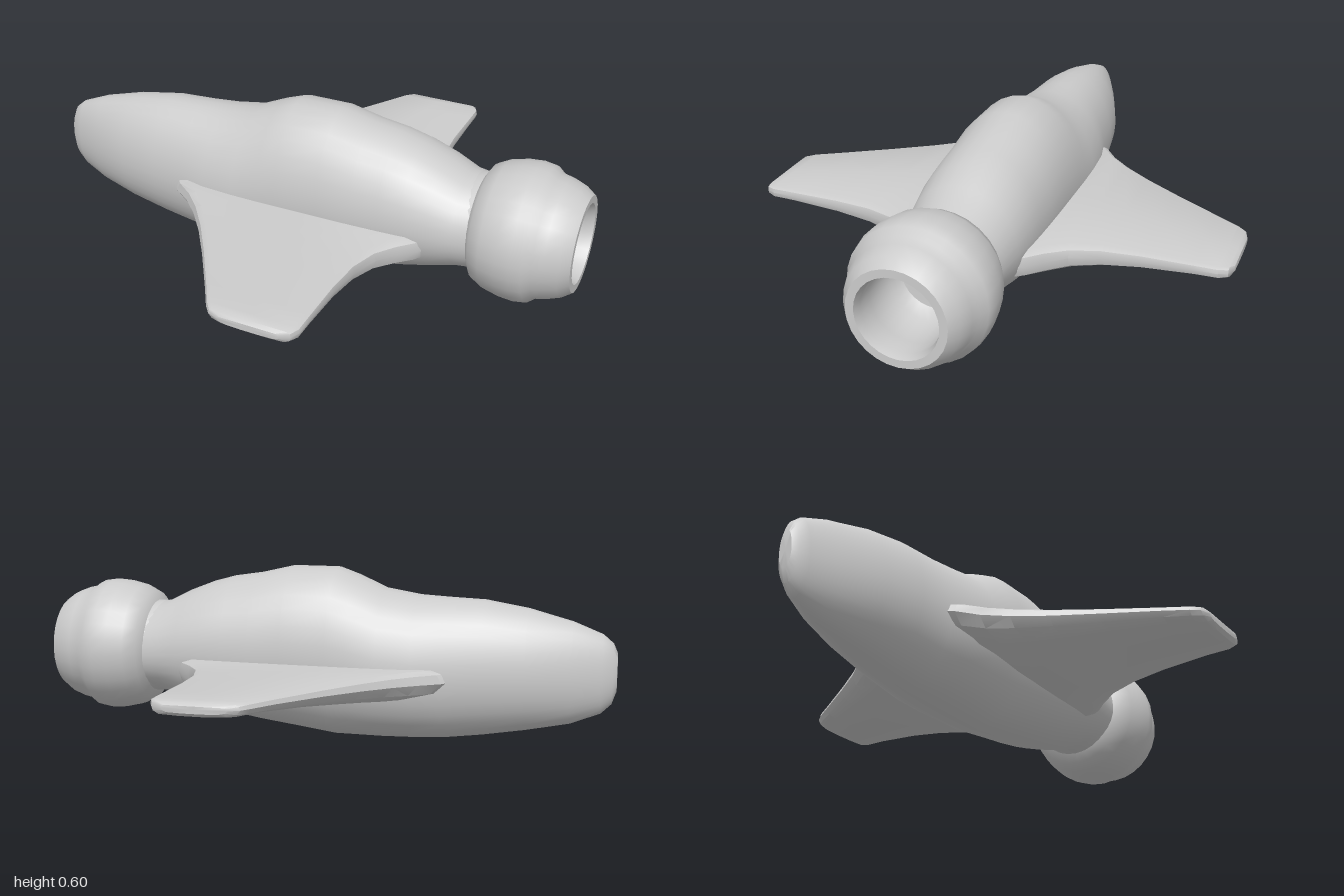
import * as THREE from 'three';
import { toCreasedNormals } from 'three/addons/utils/BufferGeometryUtils.js';

const material = new THREE.MeshStandardMaterial({ color: 0xcccccc });

// Skins a row of equal-length closed rings and caps both ends.
function loft(rings, flip = false) {
  const n = rings[0].length, last = rings.length - 1;
  const pos = rings.flat(2), index = [];
  const tri = (a, b, c) => (flip ? index.push(a, c, b) : index.push(a, b, c));
  for (let i = 0; i < last; i++) {
    for (let j = 0; j < n; j++) {
      const a = i * n + j, b = i * n + (j + 1) % n;
      tri(a, a + n, b + n);
      tri(a, b + n, b);
    }
  }
  for (const end of [0, last]) {
    const centre = pos.length / 3;
    for (let k = 0; k < 3; k++) pos.push(rings[end].reduce((s, p) => s + p[k], 0) / n);
    for (let j = 0; j < n; j++) {
      const a = end * n + j, b = end * n + (j + 1) % n;
      if (end === 0) tri(centre, a, b); else tri(centre, b, a);
    }
  }
  const g = new THREE.BufferGeometry();
  g.setAttribute('position', new THREE.Float32BufferAttribute(pos, 3));
  g.setIndex(index);
  g.computeVertexNormals();
  return toCreasedNormals(g, 0.6);
}

function named(geometry, name) {
  const mesh = new THREE.Mesh(geometry, material);
  mesh.name = name;
  return mesh;
}

// Fuselage: x, bottom, top, half width; the raised top amidships is the canopy.
function fuselage() {
  const stations = [
    [-1, 0.2, 0.33, 0.025], [-0.985, 0.155, 0.365, 0.04], [-0.95, 0.12, 0.395, 0.055],
    [-0.85, 0.08, 0.435, 0.095], [-0.7, 0.05, 0.475, 0.145], [-0.55, 0.025, 0.5, 0.17],
    [-0.42, 0.008, 0.505, 0.185], [-0.32, 0.003, 0.51, 0.208], [-0.2, 0, 0.53, 0.215],
    [-0.1, 0, 0.575, 0.215], [-0.03, 0, 0.6, 0.215], [0.13, 0.022, 0.6, 0.215],
    [0.25, 0.038, 0.572, 0.213], [0.35, 0.055, 0.557, 0.21], [0.43, 0.075, 0.535, 0.206],
    [0.52, 0.1, 0.5, 0.195], [0.6, 0.125, 0.46, 0.18], [0.7, 0.135, 0.445, 0.165],
  ];
  return loft(stations.map(([x, bottom, top, w]) => {
    const ring = [];
    for (let j = 0; j < 32; j++) {
      const a = j / 32 * Math.PI * 2, s = Math.sin(a);
      const mid = (bottom + top) / 2 - 0.01;
      ring.push([x, mid + s * (s > 0 ? top - mid : mid - bottom), Math.cos(a) * w]);
    }
    return ring;
  }));
}

// Wing: flat on top, thicker underneath towards the root.
function wing(side) {
  // span, leading edge x, trailing edge x, underside y, top y
  const stations = [
    [0.1, -0.5, 0.56, 0.16, 0.28], [0.2, -0.43, 0.5, 0.165, 0.28], [0.25, -0.36, 0.45, 0.168, 0.28],
    [0.32, -0.29, 0.4, 0.178, 0.28], [0.42, -0.21, 0.37, 0.192, 0.28], [0.55, -0.12, 0.36, 0.21, 0.28],
    [0.72, -0.01, 0.36, 0.227, 0.28], [0.8, 0.04, 0.36, 0.23, 0.28], [0.83, 0.065, 0.345, 0.234, 0.277],
    [0.842, 0.1, 0.31, 0.245, 0.268],
  ];
  // chord fraction, height fraction
  const section = [
    [0, 0.62], [0.015, 0.88], [0.05, 1], [0.5, 1], [0.95, 1], [0.99, 0.88], [1, 0.62],
    [0.985, 0.3], [0.92, 0.06], [0.7, 0], [0.4, 0], [0.15, 0.08], [0.04, 0.3],
  ];
  return loft(stations.map(([z, x0, x1, y0, y1]) =>
    section.map(([c, h]) => [x0 + c * (x1 - x0), y0 + h * (y1 - y0), z * side])), side < 0);
}

// Engine: bulbous shell with a recessed exhaust, turned about the x axis.
function engine() {
  const profile = [
    [0, 0.6], [0.165, 0.6], [0.168, 0.65], [0.2, 0.668], [0.222, 0.71], [0.236, 0.77], [0.24, 0.82],
    [0.234, 0.86], [0.214, 0.885], [0.207, 0.92], [0.19, 0.965], [0.165, 1], [0.138, 1],
    [0.13, 0.97], [0.138, 0.9], [0.135, 0.78], [0.11, 0.74], [0, 0.73],
  ].map(([r, x]) => new THREE.Vector2(r, x));
  const g = new THREE.LatheGeometry(profile, 28);
  g.rotateZ(-Math.PI / 2);
  g.translate(0, 0.29, 0);
  return toCreasedNormals(g, 0.6);
}

export function createModel() {
  const model = new THREE.Group();
  model.name = 'spacecraft';
  model.add(
    named(fuselage(), 'fuselage'),
    named(wing(1), 'nearWing'),
    named(wing(-1), 'farWing'),
    named(engine(), 'engine'),
  );
  return model;
}
